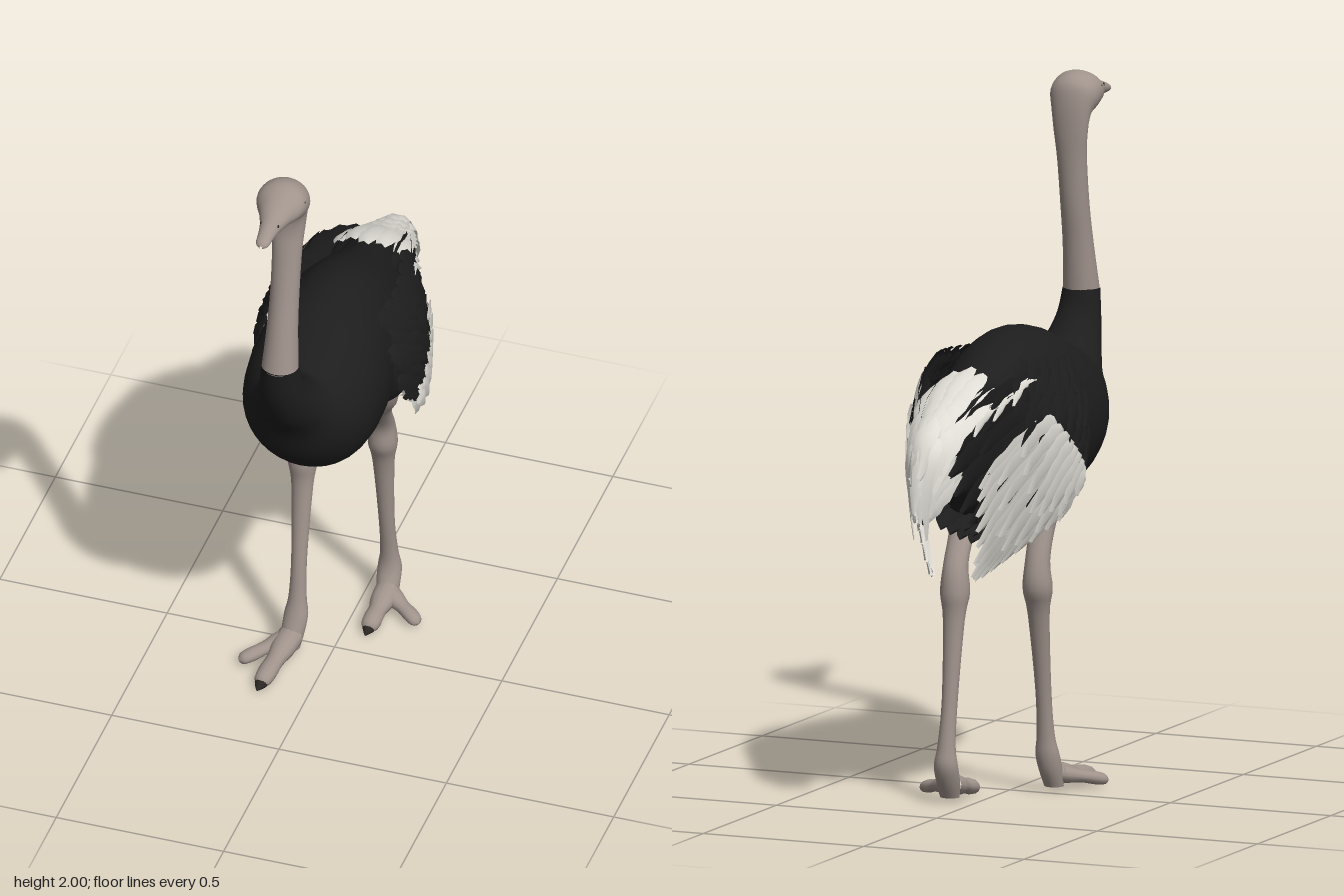
import * as THREE from 'three';
import { mergeGeometries } from 'three/addons/utils/BufferGeometryUtils.js';

const V = (x, y, z) => new THREE.Vector3(x, y, z);
const mat = (name, color, side = THREE.FrontSide) => {
  const m = new THREE.MeshStandardMaterial({ color, side });
  m.name = name;
  return m;
};

// Catmull-Rom subdivision of rows of numbers
function smooth(rows, k = 4) {
  const out = [], n = rows.length;
  for (let i = 0; i < n - 1; i++) {
    const [a, b, c, d] = [rows[Math.max(i - 1, 0)], rows[i], rows[i + 1], rows[Math.min(i + 2, n - 1)]];
    for (let s = 0; s < k; s++) {
      const t = s / k;
      out.push(b.map((p, j) => {
        const cubic = 3 * (p - c[j]) + d[j] - a[j];
        const square = 2 * a[j] - 5 * p + 4 * c[j] - d[j];
        return p + 0.5 * t * (c[j] - a[j] + t * (square + t * cubic));
      }));
    }
  }
  out.push(rows[n - 1]);
  return out;
}

// Skin over elliptical rings, each with a centre and two half axes
function loft(rings, sides = 24) {
  const pos = [], idx = [];
  rings.forEach(({ c, a, b }, i) => {
    for (let j = 0; j < sides; j++) {
      const t = (j / sides) * Math.PI * 2;
      const p = c.clone().addScaledVector(a, Math.cos(t)).addScaledVector(b, Math.sin(t));
      pos.push(p.x, p.y, p.z);
      if (i === rings.length - 1) continue;
      const k = (j + 1) % sides, r = i * sides, q = r + sides;
      idx.push(r + j, q + j, r + k, r + k, q + j, q + k);
    }
  });
  return indexed(pos, idx);
}

function indexed(pos, idx) {
  const g = new THREE.BufferGeometry();
  g.setAttribute('position', new THREE.Float32BufferAttribute(pos, 3));
  g.setIndex(idx);
  g.computeVertexNormals();
  return g;
}

// Rows: [upper z, upper y, lower z, lower y, half width]
const trunk = (rows) => loft(smooth(rows).map(([tz, ty, bz, by, w]) => ({
  c: V(0, (ty + by) / 2, (tz + bz) / 2), a: V(0, (ty - by) / 2, (tz - bz) / 2), b: V(Math.max(w, 0.001), 0, 0),
})), 36);

// Ridged blade with a ragged edge that follows a spine function
function feather(spine, width, out) {
  const profile = [0.5, 0.85, 1, 0.86, 1, 0.8, 0.88, 0.6, 0.2];
  const pos = [], idx = [], n = profile.length - 1;
  profile.forEach((w, i) => {
    const t = i / n, p = spine(t);
    const dir = spine(Math.min(t + 0.05, 1)).sub(spine(Math.max(t - 0.05, 0)));
    const side = dir.cross(out).normalize().multiplyScalar((w * width) / 2);
    const ridge = p.clone().addScaledVector(out, 0.008);
    for (const q of [p.clone().sub(side), ridge, p.clone().add(side)]) pos.push(q.x, q.y, q.z);
    if (i < n) for (const j of [i * 3, i * 3 + 1]) idx.push(j, j + 1, j + 3, j + 1, j + 4, j + 3);
  });
  return indexed(pos, idx);
}

// Outer half width of the folded wing along z, narrowing above and below
const wingWidth = [[0.15, 0.18], [0.05, 0.215], [-0.05, 0.232], [-0.13, 0.225], [-0.22, 0.195], [-0.32, 0.14], [-0.42, 0.085], [-0.55, 0.04]];
function wingX(z, y) {
  let i = 0;
  while (i < wingWidth.length - 2 && z < wingWidth[i + 1][0]) i++;
  const [z0, x0] = wingWidth[i], [z1, x1] = wingWidth[i + 1];
  const f = Math.sqrt(Math.max(0.2, 1 - ((y - 1.02) / (y > 1.02 ? 0.325 : 0.4)) ** 2));
  return THREE.MathUtils.lerp(x0, x1, THREE.MathUtils.clamp((z - z0) / (z1 - z0), 0, 1)) * f;
}
const wingSpine = (s, [z0, y0], [z1, y1], lift) => (t) => {
  const z = z0 + (z1 - z0) * t, y = y0 + (y1 - y0) * t + 0.02 * Math.sin(Math.PI * t);
  return V(s * (wingX(z, y) + lift + 0.008 * t), y, z);
};

export function createModel() {
  const model = new THREE.Group();
  const black = mat('black plumage', 0x1d1d1d);
  const blackFeather = mat('black feather', 0x1d1d1d, THREE.DoubleSide);
  const white = mat('white feather', 0xdfdcd5, THREE.DoubleSide);
  const skin = mat('bare skin', 0xa0938c);
  const dark = mat('eye and claw', 0x2a2624);
  const add = (name, geo, m, parent = model) => {
    const mesh = new THREE.Mesh(geo, m);
    mesh.name = name;
    parent.add(mesh);
    return mesh;
  };

  // Body with the feathered base of the neck
  add('body', trunk([
    [-0.54, 1.07, -0.54, 1.06, 0.002], [-0.5, 1.12, -0.48, 1.0, 0.025], [-0.4, 1.18, -0.38, 0.92, 0.065],
    [-0.25, 1.25, -0.28, 0.83, 0.13], [-0.1, 1.315, -0.12, 0.795, 0.175], [0.02, 1.335, 0.02, 0.795, 0.19],
    [0.14, 1.315, 0.16, 0.81, 0.2], [0.24, 1.27, 0.28, 0.855, 0.188], [0.31, 1.24, 0.375, 0.95, 0.15],
    [0.345, 1.24, 0.425, 1.07, 0.113], [0.39, 1.275, 0.485, 1.16, 0.084], [0.425, 1.32, 0.525, 1.26, 0.065],
    [0.44, 1.37, 0.54, 1.37, 0.054]]), black);

  // Bare neck, head and beak
  add('neckAndHead', trunk([
    [0.44, 1.365, 0.54, 1.365, 0.053], [0.425, 1.5, 0.515, 1.48, 0.045], [0.405, 1.62, 0.488, 1.6, 0.042],
    [0.392, 1.75, 0.46, 1.74, 0.044], [0.386, 1.84, 0.446, 1.81, 0.051], [0.387, 1.92, 0.452, 1.862, 0.06],
    [0.402, 1.975, 0.485, 1.88, 0.073], [0.455, 2.0, 0.52, 1.896, 0.071], [0.51, 1.985, 0.55, 1.901, 0.05],
    [0.56, 1.961, 0.585, 1.904, 0.033], [0.61, 1.946, 0.62, 1.905, 0.024], [0.65, 1.932, 0.652, 1.907, 0.019],
    [0.664, 1.92, 0.664, 1.912, 0.004]]), skin);
  for (const s of [1, -1]) {
    const eye = add('eye', new THREE.SphereGeometry(0.011, 12, 8), dark);
    eye.position.set(s * 0.065, 1.952, 0.475);
    eye.scale.x = 0.6;
    const nostril = add('nostril', new THREE.SphereGeometry(0.005, 8, 6), dark);
    nostril.position.set(s * 0.026, 1.94, 0.585);
    nostril.scale.x = 0.5;
  }

  // Folded wings: solid core, black coverts, long black and white plumes
  const whiteTips = smooth([[-0.12, 0.81], [-0.22, 0.76], [-0.3, 0.71], [-0.36, 0.675], [-0.4, 0.68], [-0.41, 0.77], [-0.425, 0.86], [-0.42, 0.94]], 2);
  const rearTips = [[-0.38, 0.82], [-0.44, 0.84], [-0.48, 0.88], [-0.51, 0.93], [-0.53, 0.99], [-0.52, 1.05], [-0.49, 1.1]];
  for (const s of [1, -1]) {
    const wing = new THREE.Group();
    wing.name = s > 0 ? 'leftWing' : 'rightWing';
    model.add(wing);
    const core = add('wingCore', new THREE.SphereGeometry(1, 24, 16), black, wing);
    core.position.set(s * 0.12, 1.04, -0.09);
    core.scale.set(0.1, 0.165, 0.2);
    core.rotation.x = -0.4;
    const out = V(s, 0, 0), upper = V(s, 0.5, 0).normalize(), coverts = [], rear = [], plumes = [];
    for (let u = 0; u < 6; u++) for (let v = 0; v < 6; v++) {
      const z = 0.09 - v * 0.052 - (u % 2) * 0.02 - Math.abs(u - 2.5) * 0.008, y = 1.25 - u * 0.05 + v * 0.004;
      if (y < 0.98 - z * 0.7) continue;
      coverts.push(feather(wingSpine(s, [z, y], [z - 0.1, y - 0.085], 0.006), 0.06, u < 3 ? upper : out));
    }
    rearTips.forEach((tip, i) => {
      const root = [-0.14 - i * 0.012, 1.02 + i * 0.033];
      rear.push(feather(wingSpine(s, root, tip, -0.004), 0.085, out));
      rear.push(feather(wingSpine(s, root, [tip[0] + 0.11, tip[1] + 0.05], 0.004), 0.07, out));
    });
    // Fan of white plumes in three overlapping layers
    whiteTips.forEach((tip, i) => {
      const root = [-0.02 - i * 0.011, 0.95 + i * 0.011];
      [1, 0.78, 0.52].forEach((reach, layer) => {
        if (layer && i % 2 === layer - 1) return;
        const end = root.map((p, k) => p + (tip[k] - p) * reach);
        plumes.push(feather(wingSpine(s, root, end, 0.004 + layer * 0.006), 0.085 - layer * 0.008, out));
      });
    });
    // Pale tips along the upper rear edge
    for (let i = 0; i < 3; i++) plumes.push(feather(wingSpine(s, [-0.2 - i * 0.07, 1.225 - i * 0.03], [-0.31 - i * 0.07, 1.165 - i * 0.035], 0.012), 0.03, upper));
    add('wingCoverts', mergeGeometries(coverts), blackFeather, wing);
    add('rearPlumes', mergeGeometries(rear), blackFeather, wing);
    add('whitePlumes', mergeGeometries(plumes), white, wing);
  }

  // Drooping tail: tapering white fan over black side feathers
  const tail = [], tailSides = [], vent = [];
  const bend = (a, b, c) => {
    const curve = new THREE.QuadraticBezierCurve3(a, b, c);
    return (t) => curve.getPoint(t);
  };
  for (let r = 0; r < 5; r++) for (let i = -2; i <= 2; i++) {
    const k = Math.abs(i), x = i * (0.044 - r * 0.007), z = -0.26 - r * 0.06 - k * 0.02;
    const y = 1.255 - r * 0.025 - k * k * 0.012;
    const tip = V(x * 0.6, y - 0.1 - r * 0.04 - k * 0.015, Math.max(z - 0.21, -0.66 + k * 0.025));
    tail.push(feather(bend(V(x, y, z), V(x * 1.1, y - 0.02, z - 0.13), tip), 0.058 - r * 0.003, V(i * 0.25, 1, -0.3).normalize()));
  }
  for (const s of [1, -1]) for (let i = 0; i < 6; i++) {
    const x = s * (0.09 - i * 0.006), y = 1.2 - i * 0.03, d = i * 0.027, out = V(s, 0.3, 0).normalize();
    tailSides.push(feather(bend(V(x, y, -0.26), V(x, y - 0.02, -0.4), V(s * 0.045, y - 0.12, -0.53 + i * 0.015)), 0.075, out));
    tail.push(feather(bend(V(s * 0.048, 1.14 - d, -0.43), V(s * 0.05, 1.1 - d, -0.56), V(s * 0.012, 1.0 - d, -0.655 + d / 3)), 0.08, out));
  }
  // Ragged feathers under the belly and tail
  for (let r = 0; r < 6; r++) for (let i = -2; i <= 2; i++) {
    const x = i * 0.035, z = 0.06 - r * 0.065, y = 0.815 + i * i * 0.008 + Math.max(0, r - 3) * 0.025;
    vent.push(feather(bend(V(x, y, z), V(x, y - 0.04, z - 0.05), V(x, y - 0.055, z - 0.13)), 0.06, V(0, -1, 0)));
  }
  add('tailPlumes', mergeGeometries(tail), white);
  add('tailSideFeathers', mergeGeometries(tailSides), blackFeather);
  add('bellyFeathers', mergeGeometries(vent), blackFeather);

  // Legs: shared heights and radii, with each leg's own stride
  const shape = [[1, 0.07, 0.06], [0.88, 0.055, 0.05], [0.78, 0.036, 0.038], [0.68, 0.034, 0.036], [0.6, 0.042, 0.043], [0.52, 0.026, 0.032],
    [0.3, 0.022, 0.023], [0.17, 0.023, 0.026], [0.11, 0.03, 0.035], [0.06, 0.034, 0.034], [0.012, 0.026, 0.028]];
  const toeRows = [[0, 1.25], [0.25, 1.2], [0.5, 0.9], [0.75, 0.95], [0.93, 0.75], [1, 0.05]];
  const clawRows = [[0, 0.8], [0.5, 0.62], [1, 0.05]];
  const toe = (a, b, r, rows) => {
    const side = V(0, 1, 0).cross(b.clone().sub(a)).normalize();
    return loft(smooth(rows).map(([t, w]) => ({ c: a.clone().lerp(b, t), a: V(0, r * w * 0.85, 0), b: side.clone().multiplyScalar(r * w) })), 12);
  };
  const legs = [
    { name: 'rightLeg', s: -1, z: [0.06, 0.03, -0.02, -0.06, -0.062, -0.048, -0.008, 0.01, 0.02, 0.035, 0.05],
      x: [0.1, 0.11, 0.112, 0.114, 0.115, 0.112, 0.108, 0.107, 0.108, 0.112, 0.115], tip: V(-0.14, 0.018, 0.255), outer: V(-0.23, 0.02, 0.17) },
    { name: 'leftLeg', s: 1, z: [0, -0.06, -0.13, -0.2, -0.212, -0.225, -0.252, -0.272, -0.275, -0.255, -0.235],
      x: [0.12, 0.118, 0.088, 0.077, 0.074, 0.072, 0.072, 0.073, 0.074, 0.076, 0.08], tip: V(0.07, 0.018, -0.085), outer: V(0.2, 0.02, -0.155) },
  ];
  for (const { name, s, z, x, tip, outer } of legs) {
    const leg = new THREE.Group();
    leg.name = name;
    model.add(leg);
    const rows = smooth(shape.map(([y, rz, rx], i) => [s * x[i], y, z[i], rz, rx]));
    add('shank', loft(rows.map(([cx, y, cz, rz, rx]) => ({ c: V(cx, y, cz), a: V(0, 0, rz), b: V(rx, 0, 0) })), 16), skin, leg);
    const heel = V(s * x[10], 0.05, z[10]);
    add('mainToe', toe(heel, tip, 0.03, toeRows), skin, leg);
    add('outerToe', toe(heel, outer, 0.024, toeRows), skin, leg);
    const ahead = tip.clone().sub(heel).setY(0).normalize();
    const clawBase = tip.clone().addScaledVector(ahead, -0.035).setY(0.024);
    const clawTip = tip.clone().addScaledVector(ahead, 0.018).setY(0.008);
    add('claw', toe(clawBase, clawTip, 0.03, clawRows), dark, leg);
  }
  return model;
}
